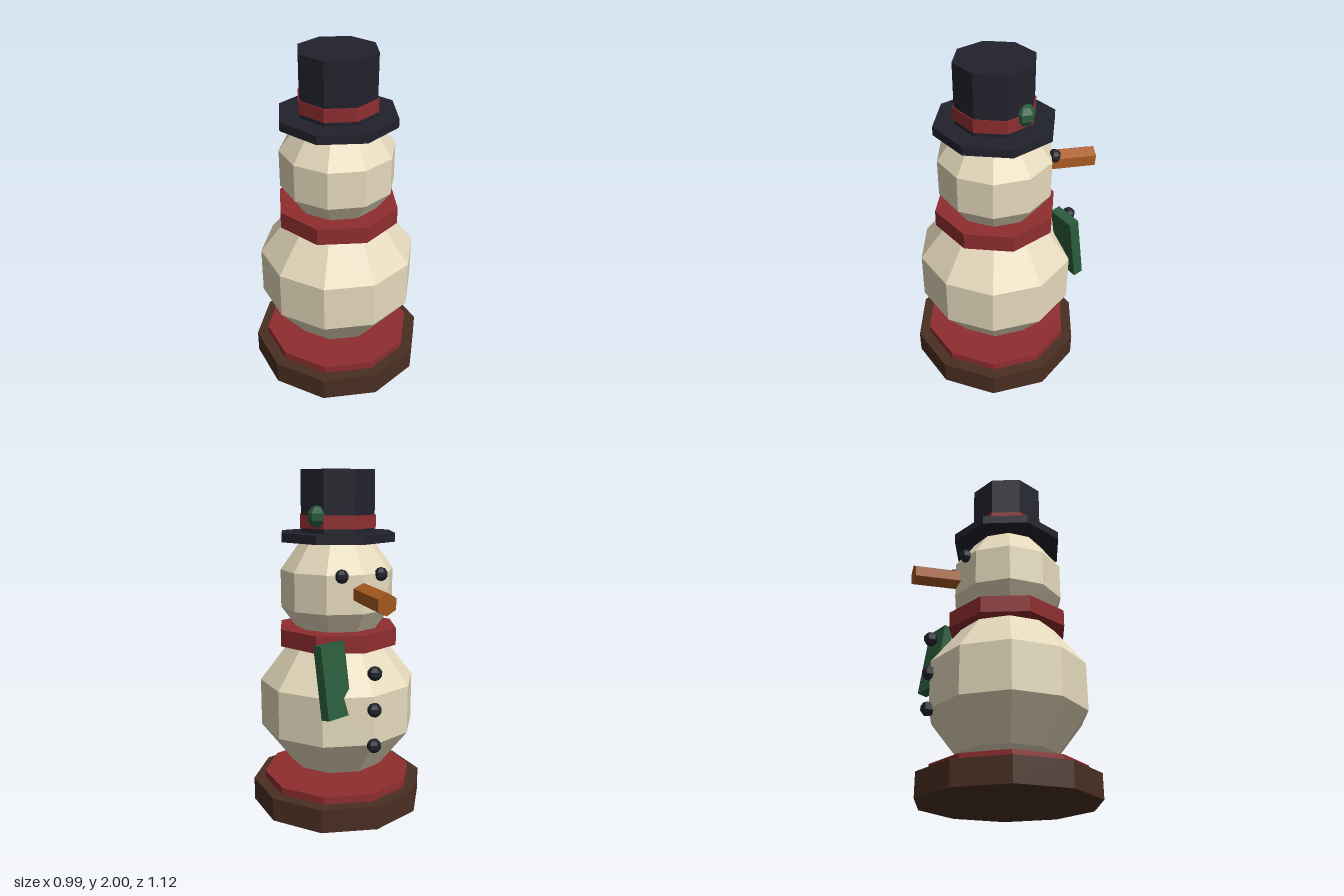
import * as THREE from 'three';

const mat = (name, color) => {
  const m = new THREE.MeshStandardMaterial({ color, flatShading: true });
  m.name = name;
  return m;
};

export function createModel() {
  const snow = mat('snow', 0xe6dabd);
  const red = mat('red', 0x8f2d2f);
  const wood = mat('wood', 0x4a2e22);
  const black = mat('black', 0x22222d);
  const green = mat('green', 0x2a5c3c);
  const orange = mat('orange', 0xa85a20);

  const model = new THREE.Group();
  model.name = 'snowman';
  const axisZ = 0.036; // the figure's vertical axis

  const add = (name, geometry, material, x, y, z) => {
    const mesh = new THREE.Mesh(geometry, material);
    mesh.name = name;
    mesh.position.set(x, y, z);
    model.add(mesh);
    return mesh;
  };
  // upright disc between two heights
  const disc = (name, material, r, y0, y1, sides) =>
    add(name, new THREE.CylinderGeometry(r, r, y1 - y0, sides), material, 0, (y0 + y1) / 2, axisZ);
  // faceted ball with a corner facing front and back
  const ball = (r, ry, sides) =>
    new THREE.SphereGeometry(r, sides, 5).rotateY(Math.PI / 2).scale(1, ry / r, 1);

  // stand
  disc('base', wood, 0.52, 0, 0.14, 10);
  disc('baseTop', red, 0.45, 0.14, 0.185, 10);

  // snowballs
  add('body', ball(0.488, 0.458, 10), snow, 0, 0.633, axisZ);
  add('head', ball(0.35, 0.354, 10), snow, 0, 1.325, axisZ);

  // scarf with hanging tail
  disc('scarf', red, 0.363, 1.0, 1.1, 8);
  const tail = add('scarfTail', new THREE.BoxGeometry(0.175, 0.41, 0.06), green, 0.212, 0.873, -0.345);
  tail.rotation.set(0.155, 0.31, 0, 'YXZ');

  // hat
  disc('hatBrim', black, 0.347, 1.6, 1.65, 8);
  disc('hatCrown', black, 0.226, 1.65, 2, 8);
  disc('hatBand', red, 0.233, 1.675, 1.75, 8);
  add('hatBerry', ball(0.062, 0.064, 6), green, 0.172, 1.743, -0.075);

  // face
  for (const side of [-1, 1]) {
    add('eye', ball(0.038, 0.04, 6), black, side * 0.122, 1.43, -0.273);
  }
  const nose = add('nose', new THREE.CylinderGeometry(0.063, 0.063, 0.28, 6).rotateX(Math.PI / 2),
    orange, 0, 1.32, -0.416);
  nose.rotation.x = -0.065;

  // buttons
  for (const y of [0.49, 0.7, 0.91]) {
    add('button', ball(0.042, 0.042, 6), black, 0, y, -0.434);
  }
  return model;
}
